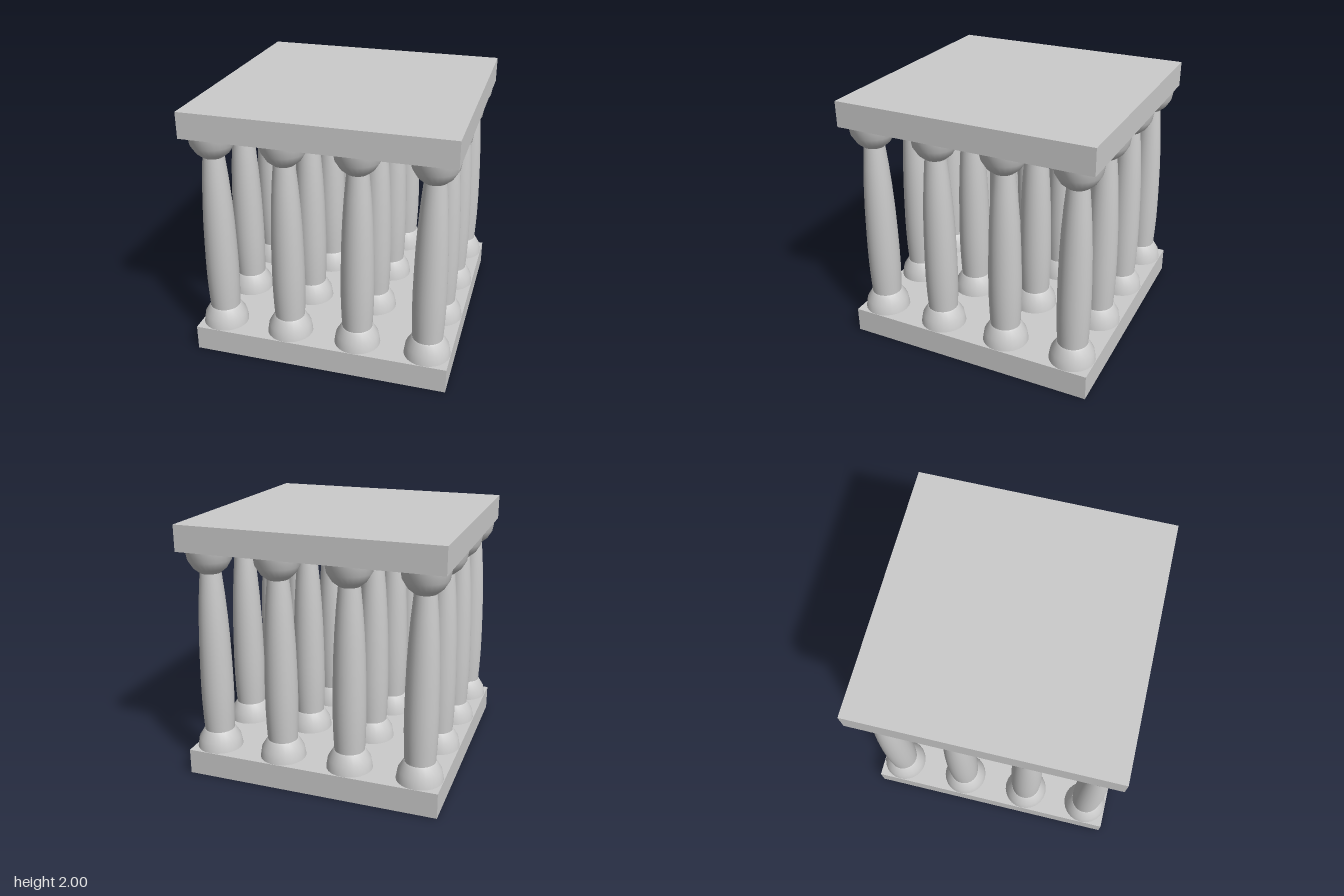
import * as THREE from 'three';

const material = new THREE.MeshStandardMaterial({ color: 0xcccccc });
const SIDES = 24;

// Turned part from [radius, height] pairs, listed bottom to top
function lathe(points) {
  return new THREE.LatheGeometry(points.map(([r, y]) => new THREE.Vector2(r, y)), SIDES);
}

function addMesh(parent, name, geometry, y = 0) {
  const mesh = new THREE.Mesh(geometry, material);
  mesh.name = name;
  mesh.position.y = y;
  parent.add(mesh);
}

export function createModel() {
  const model = new THREE.Group();
  model.name = 'columnHall';

  // Floor and roof slabs
  const slab = new THREE.BoxGeometry(2, 0.2, 2);
  addMesh(model, 'floorSlab', slab, 0.1);
  addMesh(model, 'roofSlab', slab, 1.9);

  // Half-round base and bowl-shaped capital
  const base = lathe([[0.178, 0.2], [0.165, 0.277], [0.126, 0.341], [0.117, 0.35]]);
  const capital = lathe([[0.078, 1.62], [0.126, 1.659], [0.165, 1.723], [0.178, 1.8]]);

  // Shaft swelling low down and tapering to the neck
  const shaft = lathe([
    [0.116, 0.34], [0.122, 0.46], [0.126, 0.6], [0.126, 0.75], [0.123, 0.92],
    [0.118, 1.1], [0.109, 1.28], [0.097, 1.45], [0.08, 1.63],
  ]);

  // Four by four grid of columns
  for (const x of [-0.82, -0.273, 0.273, 0.82]) {
    for (const z of [-0.82, -0.265, 0.287, 0.82]) {
      const column = new THREE.Group();
      column.name = 'column';
      column.position.set(x, 0, z);
      addMesh(column, 'columnBase', base);
      addMesh(column, 'columnShaft', shaft);
      addMesh(column, 'columnCapital', capital);
      model.add(column);
    }
  }
  return model;
}
